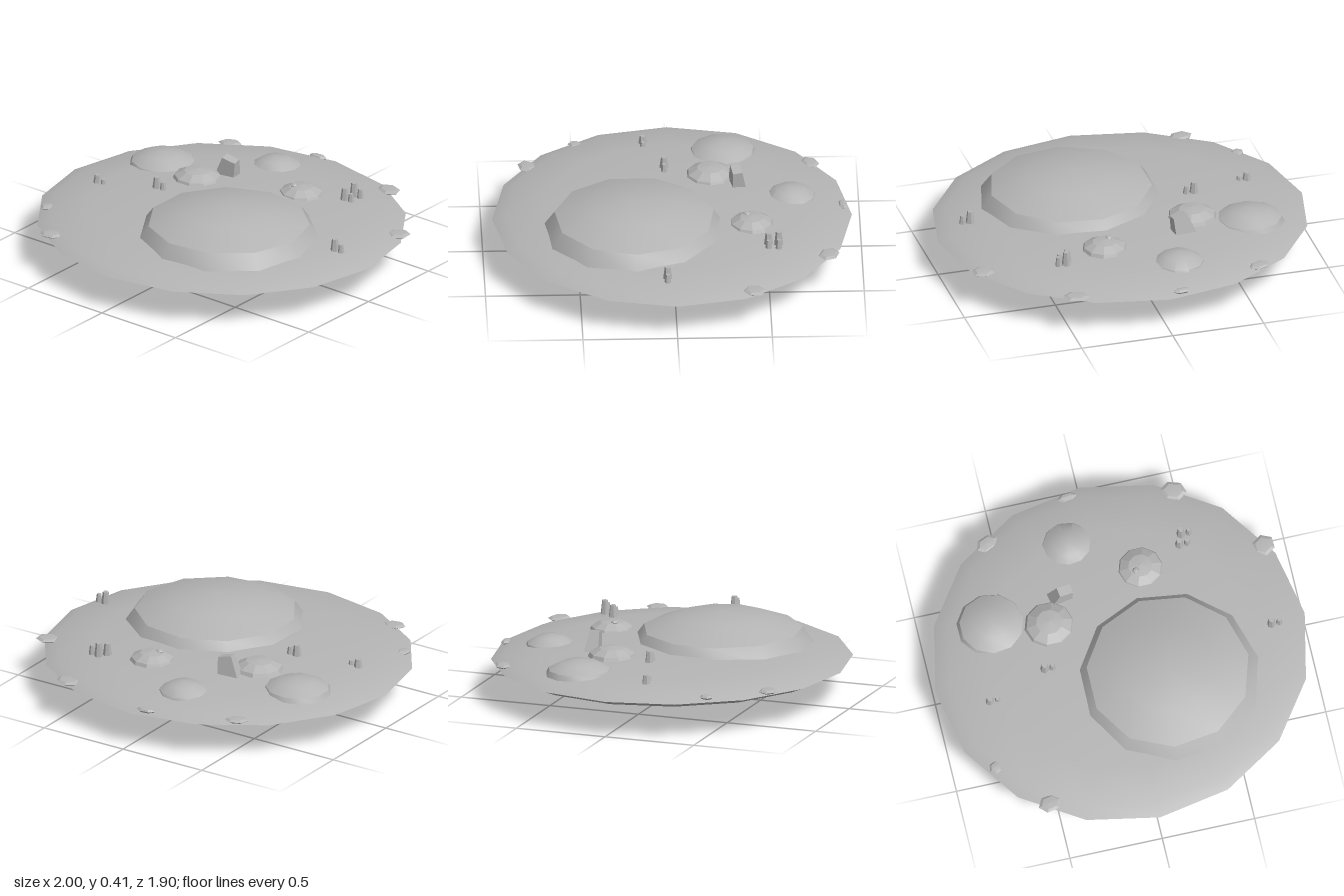
import * as THREE from 'three';
import { toCreasedNormals } from 'three/addons/utils/BufferGeometryUtils.js';

export function createModel() {
  const model = new THREE.Group();
  const stone = new THREE.MeshStandardMaterial({ color: 0xb4b4b4 });
  stone.name = 'stoneGrey';

  const add = (name, geometry, x, y, z, parent = model) => {
    const mesh = new THREE.Mesh(geometry, stone);
    mesh.name = name;
    mesh.position.set(x, y, z);
    parent.add(mesh);
    return mesh;
  };

  // Low-sided squashed ball; wall adds a straight band at the equator
  const lens = (rx, ry, rz, sides, rings, crease, wall = 0) => {
    const points = [];
    for (let i = 0; i <= rings; i++) {
      const a = -Math.PI / 2 + (Math.PI * i) / rings;
      const r = i % rings === 0 ? 0 : Math.cos(a);
      const y = Math.sin(a) * ry;
      if (wall && i * 2 === rings) {
        points.push(new THREE.Vector2(1, -wall), new THREE.Vector2(1, wall));
      } else {
        points.push(new THREE.Vector2(r, y + Math.sign(a) * wall));
      }
    }
    const g = new THREE.LatheGeometry(points, sides, Math.PI / 2);
    g.scale(rx, 1, rz);
    return toCreasedNormals(g, crease);
  };

  // Wide disc and the large dome passing through it
  add('disc', lens(1, 0.08, 0.95, 16, 8, 0.3), 0, 0.19, 0);
  add('largeDome', lens(0.5, 0.182, 0.49, 11, 6, 0.5, 0.021), 0.215, 0.203, 0.205);

  // Small domes: x, y, z, radius, half height, sides, crease angle
  [
    [-0.63, 0.205, -0.285, 0.197, 0.1, 11, 0.6],
    [-0.14, 0.197, -0.63, 0.152, 0.095, 11, 0.6],
    [0.205, 0.236, -0.415, 0.13, 0.068, 10, 0.2],
    [-0.335, 0.24, -0.21, 0.142, 0.075, 10, 0.2],
  ].forEach(([x, y, z, r, h, sides, crease]) =>
    add('smallDome', lens(r, h, r * 0.97, sides, 6, crease), x, y, z));

  // Leaning four-sided block
  const blockShape = toCreasedNormals(new THREE.CylinderGeometry(0.055, 0.085, 0.13, 4).rotateY(Math.PI / 4), 0.2);
  blockShape.scale(1, 1, 0.65);
  const block = add('leaningBlock', blockShape, -0.235, 0.292, -0.35);
  block.rotation.set(0.1, 0.15, -0.25);

  // Pairs of tapered posts: x, base y, z, height
  [
    [0.455, 0.262, -0.55, 0.075],
    [0.435, 0.255, -0.497, 0.065],
    [-0.415, 0.266, 0.03, 0.06],
    [-0.735, 0.234, 0.133, 0.05],
    [0.81, 0.26, 0.047, 0.066],
  ].forEach(([x, y, z, height]) => {
    const pair = new THREE.Group();
    pair.name = 'postPair';
    pair.position.set(x, y, z);
    model.add(pair);
    [[0, 0.024, 1], [0.042, 0.018, 0.68]].forEach(([dx, r, s]) => {
      const g = new THREE.CylinderGeometry(r * 0.65, r, height * s, 6);
      add('post', toCreasedNormals(g, 0.2), dx, height * s / 2, 0, pair);
    });
  });

  // Thin flakes along the rim: x, z, half width, half depth, turn
  [
    [-0.55, 0.75, 0.065, 0.05, 0.2],
    [0.475, -0.815, 0.072, 0.055, -0.3],
    [0.87, -0.41, 0.065, 0.06, 0.6],
    [-0.55, -0.745, 0.065, 0.045, 0.4],
    [-0.08, -0.905, 0.055, 0.025, 0.1],
    [-0.785, 0.49, 0.035, 0.04, -0.6],
  ].forEach(([x, z, rx, rz, turn]) => {
    add('rimFlake', lens(rx, 0.013, rz, 6, 4, 0.2), x, 0.21, z).rotation.y = turn;
  });

  // Tiny pebble on one small dome
  add('pebble', lens(0.02, 0.01, 0.02, 6, 4, 0.2), 0.175, 0.3, -0.39);

  return model;
}
